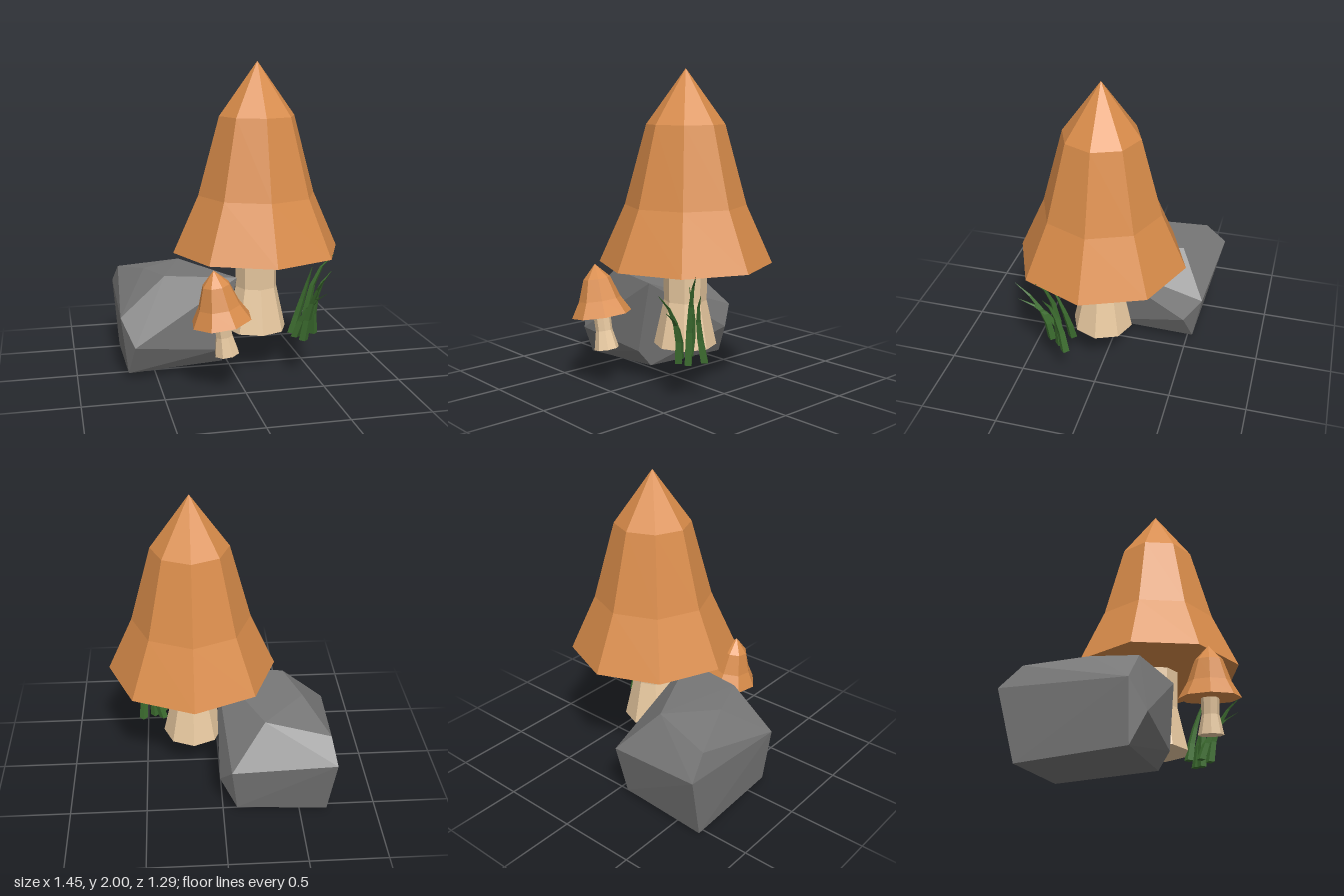
import * as THREE from 'three';
import { ConvexGeometry } from 'three/addons/geometries/ConvexGeometry.js';

const material = (color) => new THREE.MeshStandardMaterial({ color, flatShading: true });
const capMaterial = material(0xd98c4a);
const stemMaterial = material(0xe8c9a0);
const rockMaterial = material(0x777777);
const grassMaterial = material(0x3d6e30);

function addMesh(parent, name, geometry, mat) {
  const mesh = new THREE.Mesh(geometry, mat);
  mesh.name = name;
  parent.add(mesh);
  return mesh;
}

// Eight-sided turned solid from [radius, height] pairs
function turned(profile) {
  return new THREE.LatheGeometry(profile.map(([r, y]) => new THREE.Vector2(r, y)), 8);
}

// Mushroom standing on its own origin: flared stem and bell cap with a flat underside
function createMushroom(name, { stemRadius, stemHeight, capRadius, capHeight, yaw = 0 }) {
  const group = new THREE.Group();
  group.name = name;
  const stem = [[0, 0], [1, 0], [0.68, 0.54], [0.7, 1], [0, 1]];
  const cap = [[0, 0], [1, 0], [0.7, 0.303], [0.45, 0.718], [0, 1]];
  const scaled = (profile, r, h) => turned(profile.map(([a, b]) => [a * r, b * h]));
  const stemMesh = addMesh(group, 'stem', scaled(stem, stemRadius, stemHeight), stemMaterial);
  const capMesh = addMesh(group, 'cap', scaled(cap, capRadius, capHeight), capMaterial);
  capMesh.position.y = stemHeight;
  stemMesh.rotation.y = capMesh.rotation.y = yaw;
  return group;
}

// Grass blade: a four-sided cone bent along a curve
function createBlade(points, radius) {
  const curve = new THREE.QuadraticBezierCurve3(...points.map((p) => new THREE.Vector3(...p)));
  const geometry = new THREE.CylinderGeometry(0.001, radius, 1, 4, 4);
  const pos = geometry.attributes.position;
  for (let i = 0; i < pos.count; i++) {
    const t = pos.getY(i) + 0.5;
    const c = curve.getPoint(t);
    // keep the lower half broad before it tapers
    const fat = 1 + 0.5 * t;
    pos.setXYZ(i, c.x + pos.getX(i) * fat, c.y, c.z + pos.getZ(i) * fat);
  }
  geometry.computeVertexNormals();
  return geometry;
}

export function createModel() {
  const model = new THREE.Group();
  model.name = 'mushroomsAndRock';

  // Large mushroom
  const large = createMushroom('largeMushroom', {
    stemRadius: 0.2, stemHeight: 0.53, capRadius: 0.545, capHeight: 1.205,
  });
  large.position.set(0.175, 0.265, 0.03);
  model.add(large);

  // Small leaning mushroom
  const small = createMushroom('smallMushroom', {
    stemRadius: 0.078, stemHeight: 0.22, capRadius: 0.19, capHeight: 0.322, yaw: -Math.PI / 6,
  });
  small.position.set(-0.108, 0.25, 0.445);
  small.rotation.set(0.04, 0, 0.16);
  model.add(small);

  // Faceted rock
  const corners = [
    // underside
    [-0.68, 0.045, 0.13], [-0.07, 0.075, 0.11], [-0.09, 0.045, -0.54], [-0.68, 0.005, -0.54],
    // sides
    [-0.645, 0.24, 0.225], [-0.1, 0.18, 0.19], [-0.725, 0.42, 0.14],
    [-0.71, 0.45, -0.65], [-0.05, 0.38, -0.6], [0.02, 0.25, -0.49],
    // top
    [-0.68, 0.585, -0.515], [-0.27, 0.64, -0.42], [-0.54, 0.655, -0.16],
    [-0.44, 0.668, 0.11], [0.01, 0.652, 0.19],
  ];
  addMesh(model, 'rock', new ConvexGeometry(corners.map((p) => new THREE.Vector3(...p))), rockMaterial);

  // Grass tuft: base, bend and tip of each blade
  const grass = new THREE.Group();
  grass.name = 'grass';
  model.add(grass);
  const blades = [
    [[0.44, 0.23, 0.25], [0.45, 0.68, 0.25], [0.6, 0.81, 0.34]],
    [[0.38, 0.26, 0.18], [0.45, 0.5, 0.19], [0.48, 0.72, 0.28]],
    [[0.52, 0.25, 0.19], [0.48, 0.55, 0.24], [0.6, 0.69, 0.3]],
    [[0.42, 0.25, 0.31], [0.46, 0.54, 0.32], [0.48, 0.7, 0.52]],
    [[0.38, 0.26, 0.26], [0.44, 0.5, 0.3], [0.51, 0.6, 0.49]],
  ];
  for (const points of blades) addMesh(grass, 'blade', createBlade(points, 0.03), grassMaterial);

  return model;
}
